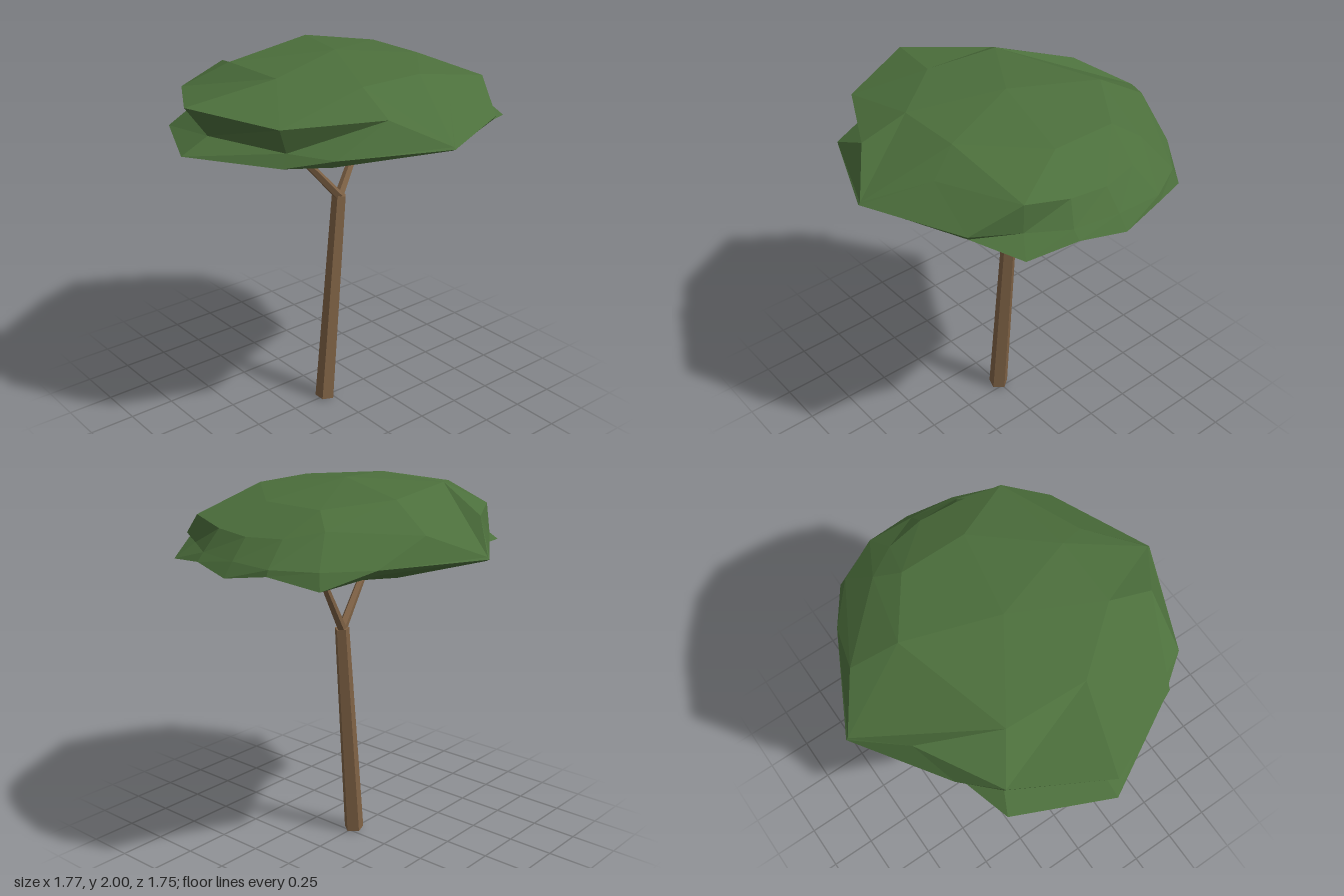
import * as THREE from 'three';

const bark = new THREE.MeshStandardMaterial({ color: 0x7f6245, flatShading: true });
bark.name = 'bark';
const leaves = new THREE.MeshStandardMaterial({ color: 0x4c6f3c, flatShading: true });
leaves.name = 'leaves';

// Tapered five-sided limb between two points
function limb(name, from, to, r0, r1) {
  const a = new THREE.Vector3(...from), b = new THREE.Vector3(...to);
  const dir = b.clone().sub(a);
  const geo = new THREE.CylinderGeometry(r1, r0, dir.length(), 5);
  geo.rotateY(Math.PI / 2);
  const mesh = new THREE.Mesh(geo, bark);
  mesh.name = name;
  mesh.position.copy(a).add(b).multiplyScalar(0.5);
  mesh.quaternion.setFromUnitVectors(new THREE.Vector3(0, 1, 0), dir.normalize());
  return mesh;
}

// Rim columns, from the front round by the right: upper x y z, waist x z, lower x y z
const WAIST = 1.71;
const RIM = [
  [0.03, 1.72, 0.86, 0.03, 0.87, 0.03, 1.70, 0.85],
  [-0.21, 1.85, 0.68, -0.49, 0.65, -0.48, 1.67, 0.62],
  [-0.65, 1.835, 0.45, -0.60, 0.43, -0.64, 1.65, 0.45],
  [-0.86, 1.87, 0, -0.74, 0, -0.89, 1.64, 0],
  [-0.61, 1.83, -0.43, -0.58, -0.42, -0.675, 1.63, -0.465],
  [-0.21, 1.85, -0.66, -0.42, -0.58, -0.40, 1.66, -0.55],
  [0.03, 1.72, -0.87, 0.03, -0.88, 0.03, 1.70, -0.86],
  [0.27, 1.835, -0.69, 0.53, -0.62, 0.50, 1.68, -0.60],
  [0.59, 1.86, -0.36, 0.73, -0.45, 0.755, 1.63, -0.475],
  [0.70, 1.82, -0.20, 0.84, -0.24, 0.85, 1.68, -0.24],
  [0.74, 1.81, 0, 0.83, 0, 0.885, 1.64, 0],
  [0.72, 1.82, 0.20, 0.79, 0.24, 0.83, 1.67, 0.24],
  [0.66, 1.85, 0.42, 0.67, 0.43, 0.76, 1.635, 0.49],
  [0.25, 1.84, 0.60, 0.54, 0.64, 0.53, 1.69, 0.63],
];
// Crown ring: each point serves two neighbouring rim columns
const CROWN = [
  [-0.17, 1.945, 0.45], [-0.43, 1.96, 0.13], [-0.41, 1.95, -0.29], [0.20, 1.962, -0.46],
  [0.50, 1.93, -0.25], [0.50, 1.93, 0.10], [0.19, 1.945, 0.45],
];

function canopy() {
  const n = RIM.length;
  const crown = RIM.map((_, i) => CROWN[i >> 1]);
  const base = CROWN.map(([x, , z]) => [x * 1.05, 1.592, z * 1.05]);
  const loops = [
    RIM.map(() => [0.03, 2, 0]),
    crown,
    RIM.map((r) => r.slice(0, 3)),
    RIM.map((r) => [r[3], WAIST, r[4]]),
    RIM.map((r) => r.slice(5, 8)),
    RIM.map((_, i) => base[i >> 1]),
    RIM.map(() => [0.03, 1.586, 0]),
  ];
  const pos = [];
  const same = (p, q) => p.every((v, k) => v === q[k]);
  const tri = (a, b, c) => {
    if (!same(a, b) && !same(b, c) && !same(c, a)) pos.push(...a, ...b, ...c);
  };
  // Skin neighbouring loops, dropping the collapsed triangles
  for (let k = 0; k < loops.length - 1; k++) {
    for (let i = 0; i < n; i++) {
      const j = (i + 1) % n, up = loops[k], low = loops[k + 1];
      tri(up[i], up[j], low[j]);
      tri(up[i], low[j], low[i]);
    }
  }
  const geo = new THREE.BufferGeometry();
  geo.setAttribute('position', new THREE.Float32BufferAttribute(pos, 3));
  geo.computeVertexNormals();
  const mesh = new THREE.Mesh(geo, leaves);
  mesh.name = 'canopy';
  return mesh;
}

export function createModel() {
  const tree = new THREE.Group();
  tree.name = 'tree';
  tree.add(
    limb('trunk', [-0.036, 0.005, 0], [0.063, 1.21, 0], 0.055, 0.04),
    limb('rightBranch', [0.065, 1.2, 0], [-0.40, 1.66, 0.115], 0.026, 0.016),
    limb('leftBranch', [0.06, 1.2, 0], [0.43, 1.66, -0.145], 0.026, 0.016),
    canopy(),
  );
  return tree;
}
